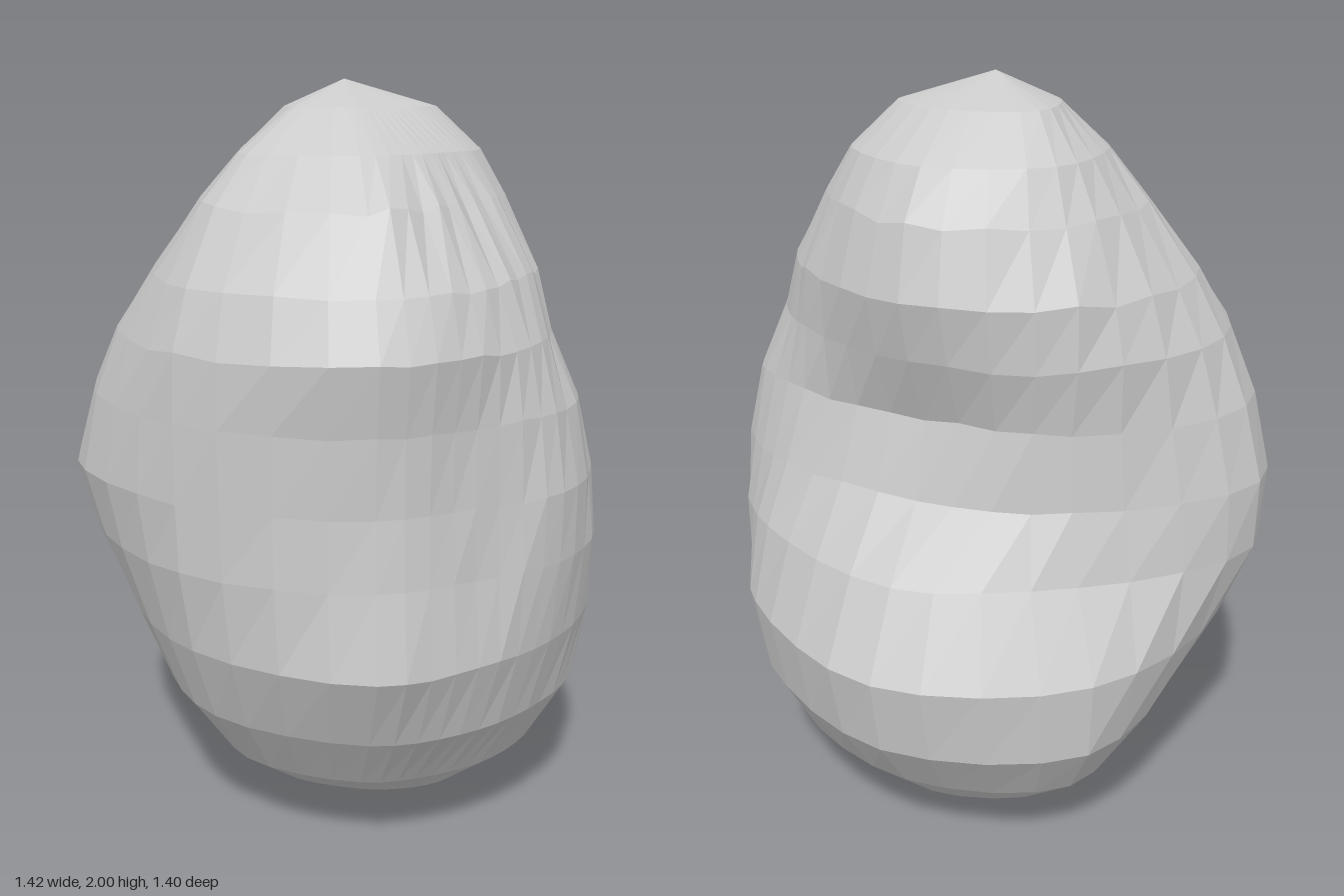
import * as THREE from 'three';

const SEGMENTS = 40;

// Directions around the stone in degrees, from +x towards +z
const DIRECTIONS = [0, 22, 45, 67, 90, 135, 180, 225, 270, 315];

// Height, then the radius in each direction
const RINGS = [
  [0.015, 0.31, 0.25, 0.18, 0.10, 0.07, 0.04, 0.02, 0.05, 0.14, 0.28],
  [0.09, 0.43, 0.40, 0.36, 0.30, 0.25, 0.22, 0.20, 0.25, 0.41, 0.43],
  [0.22, 0.59, 0.57, 0.53, 0.49, 0.46, 0.40, 0.34, 0.41, 0.57, 0.57],
  [0.39, 0.68, 0.67, 0.63, 0.61, 0.59, 0.52, 0.48, 0.53, 0.68, 0.69],
  [0.60, 0.71, 0.71, 0.69, 0.68, 0.70, 0.60, 0.57, 0.65, 0.70, 0.73],
  [0.82, 0.66, 0.72, 0.71, 0.66, 0.67, 0.64, 0.66, 0.74, 0.59, 0.62],
  [1.00, 0.60, 0.70, 0.71, 0.65, 0.66, 0.65, 0.71, 0.74, 0.54, 0.48],
  [1.20, 0.54, 0.66, 0.68, 0.65, 0.67, 0.65, 0.66, 0.69, 0.53, 0.43],
  [1.37, 0.53, 0.58, 0.63, 0.66, 0.70, 0.64, 0.59, 0.62, 0.56, 0.50],
  [1.52, 0.52, 0.54, 0.56, 0.61, 0.64, 0.59, 0.49, 0.54, 0.55, 0.54],
  [1.70, 0.45, 0.44, 0.43, 0.47, 0.53, 0.48, 0.35, 0.41, 0.47, 0.50],
  [1.82, 0.39, 0.36, 0.34, 0.36, 0.40, 0.36, 0.25, 0.30, 0.40, 0.42],
  [1.93, 0.27, 0.23, 0.19, 0.18, 0.19, 0.17, 0.12, 0.17, 0.28, 0.28],
];

// Smooth closed outline of one level
function ringCurve([y, ...radii]) {
  const points = radii.map((r, i) => {
    const angle = THREE.MathUtils.degToRad(DIRECTIONS[i]);
    return new THREE.Vector3(Math.cos(angle) * r, y, Math.sin(angle) * r);
  });
  return new THREE.CatmullRomCurve3(points, true);
}

// Repeatable small surface unevenness
function makeNoise(seed) {
  return () => {
    seed = (seed * 16807) % 2147483647;
    return seed / 2147483647 - 0.5;
  };
}

function stoneGeometry() {
  const noise = makeNoise(71);
  const positions = [0.14, 0, -0.02]; // bottom point
  for (const ring of RINGS) {
    const curve = ringCurve(ring);
    const rough = ring[0] > 0.3 && ring[0] < 1.8 ? 0.012 : 0;
    for (let j = 0; j < SEGMENTS; j++) {
      const p = curve.getPoint(j / SEGMENTS).multiplyScalar(1 + noise() * rough);
      positions.push(p.x, p.y, p.z);
    }
  }
  positions.push(0.03, 2, -0.05); // peak
  const peak = positions.length / 3 - 1;

  const index = [];
  const at = (ring, j) => 1 + ring * SEGMENTS + (j % SEGMENTS);
  const last = RINGS.length - 1;
  for (let j = 0; j < SEGMENTS; j++) {
    index.push(0, at(0, j), at(0, j + 1));
    index.push(at(last, j), peak, at(last, j + 1));
    for (let i = 0; i < last; i++) {
      index.push(at(i, j), at(i + 1, j), at(i, j + 1));
      index.push(at(i, j + 1), at(i + 1, j), at(i + 1, j + 1));
    }
  }
  const geometry = new THREE.BufferGeometry();
  geometry.setAttribute('position', new THREE.Float32BufferAttribute(positions, 3));
  geometry.setIndex(index);
  geometry.computeVertexNormals();
  return geometry;
}

export function createModel() {
  const group = new THREE.Group();
  group.name = 'rock';
  const material = new THREE.MeshStandardMaterial({ color: 0xcccccc, flatShading: true });
  const stone = new THREE.Mesh(stoneGeometry(), material);
  stone.name = 'stone';
  group.add(stone);
  return group;
}
